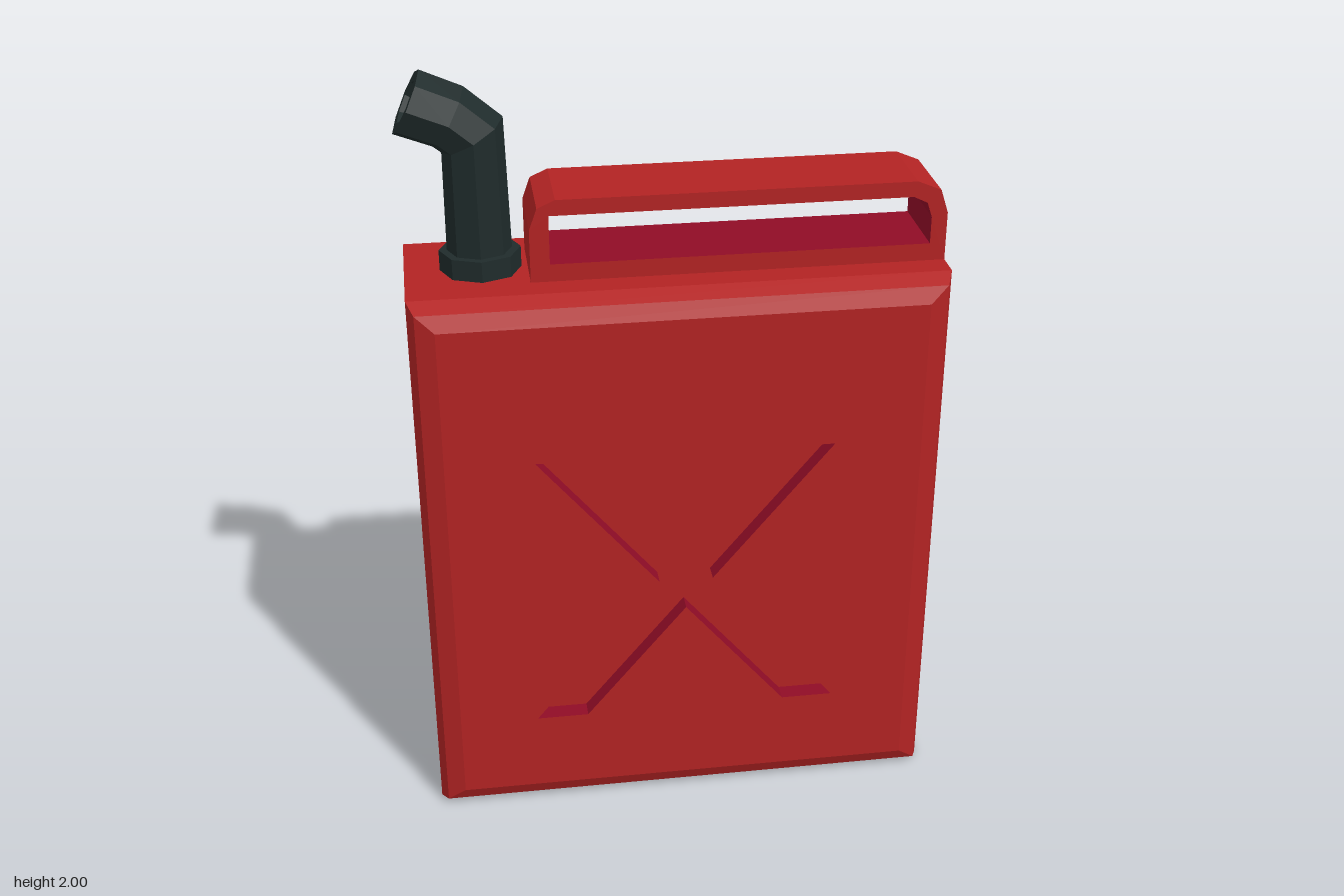
import * as THREE from 'three';

const red = new THREE.MeshStandardMaterial({ color: 0xb22323 });
red.name = 'red paint';
const crimson = new THREE.MeshStandardMaterial({ color: 0x900c26 });
crimson.name = 'crimson recess';
const rubber = new THREE.MeshStandardMaterial({ color: 0x1f2b2b });
rubber.name = 'dark rubber';

const v2 = ([x, y]) => new THREE.Vector2(x, y);

// Flat-faced skin through closed rings of equal point count
function loft(rings) {
  const pos = [];
  for (let k = 0; k < rings.length - 1; k++) {
    const a = rings[k], b = rings[k + 1], n = a.length;
    for (let i = 0; i < n; i++) {
      const j = (i + 1) % n;
      pos.push(...a[i], ...a[j], ...b[j], ...a[i], ...b[j], ...b[i]);
    }
  }
  const geo = new THREE.BufferGeometry();
  geo.setAttribute('position', new THREE.Float32BufferAttribute(pos, 3));
  geo.computeVertexNormals();
  return geo;
}

// Flat face at depth z, optionally with a hole
function face(outline, z, hole) {
  const shape = new THREE.Shape(outline.map(v2));
  if (hole) shape.holes.push(new THREE.Path(hole.map(v2)));
  return new THREE.ShapeGeometry(shape).translate(0, 0, z);
}

const atZ = (pts, z) => pts.map(([x, y]) => [x, y, z]);
const rect = (w, y0, y1) => [[-w, y0], [w, y0], [w, y1], [-w, y1]];

// Octagonal ring in a plane tilted by the given angle about z
function ring(x, y, deg, r, rz = r) {
  const t = THREE.MathUtils.degToRad(deg);
  return Array.from({ length: 8 }, (_, i) => {
    const a = (i * Math.PI) / 4, u = r * Math.cos(a);
    return [x + u * Math.cos(t), y + u * Math.sin(t), -rz * Math.sin(a)];
  });
}

function add(parent, name, geo, mat) {
  const mesh = new THREE.Mesh(geo, mat);
  mesh.name = name;
  parent.add(mesh);
}

function group(parent, name) {
  const g = new THREE.Group();
  g.name = name;
  parent.add(g);
  return g;
}

export function createModel() {
  const model = new THREE.Group();
  model.name = 'fuelCan';

  // Bevelled shell between the front and back panels
  const levels = [[0.18, 0.67, 0], [0.225, 0.652, 0.02], [0.245, 0.605, 0.06]];
  const layers = [
    ...levels.slice().reverse().map(([z, w, m]) => [-z, w, m]),
    ...levels,
  ];
  add(model, 'bodyShell', loft(layers.map(([z, w, m]) => atZ(rect(w, m, 1.49 - m), z))), red);

  // Panels with a sunken cross brace
  const cross = [
    [-0.4, 0.28], [-0.265, 0.28], [0, 0.6], [0.265, 0.28], [0.4, 0.28], [0.07, 0.685],
    [0.38, 1.06], [0.24, 1.06], [0, 0.77], [-0.24, 1.06], [-0.38, 1.06], [-0.07, 0.685],
  ];
  const floorZ = 0.197;
  for (const [name, turn] of [['frontPanel', 0], ['backPanel', Math.PI]]) {
    const panel = group(model, name);
    panel.rotation.y = turn;
    add(panel, 'panelFace', face(rect(0.605, 0.06, 1.43), 0.245, cross), red);
    add(panel, 'crossWalls', loft([atZ(cross, 0.245), atZ(cross, floorZ)]), crimson);
    add(panel, 'crossFloor', face(cross, floorZ), red);
  }

  // Carrying handle: a frame with a crimson inside
  const outer = [
    [-0.365, 1.485], [0.67, 1.485], [0.67, 1.615], [0.65, 1.675], [0.59, 1.7],
    [-0.3, 1.7], [-0.345, 1.68], [-0.365, 1.625],
  ];
  const inner = [
    [-0.317, 1.535], [0.63, 1.535], [0.63, 1.605], [0.617, 1.643], [0.582, 1.66], [-0.317, 1.66],
  ];
  const handle = group(model, 'handle');
  const hz = 0.11;
  const side = face(outer, hz, inner);
  const back = face(outer.map(([x, y]) => [-x, y]), hz, inner.map(([x, y]) => [-x, y]));
  add(handle, 'handleFront', side, red);
  add(handle, 'handleBack', back.rotateY(Math.PI), red);
  add(handle, 'handleOutside', loft([atZ(outer, -hz), atZ(outer, hz)]), red);
  add(handle, 'handleInside', loft([atZ(inner, hz), atZ(inner, -hz)]), crimson);

  // Spout: collar and bent tube with a hollow mouth
  const spout = group(model, 'spout');
  add(spout, 'collar', loft([
    ring(-0.481, 1.485, 0, 0.101, 0.095), ring(-0.481, 1.543, 0, 0.101, 0.095),
    ring(-0.481, 1.543, 0, 0.03),
  ]), rubber);
  add(spout, 'tube', loft([
    ring(-0.481, 1.49, 0, 0.081, 0.075),
    ring(-0.485, 1.835, 29, 0.086, 0.08),
    ring(-0.54, 1.882, 61, 0.083, 0.08),
    ring(-0.637, 1.922, 65, 0.085, 0.08),
    ring(-0.637, 1.922, 65, 0.055),
    ring(-0.617, 1.913, 65, 0.05),
    ring(-0.617, 1.913, 65, 0.0001),
  ]), rubber);

  return model;
}
